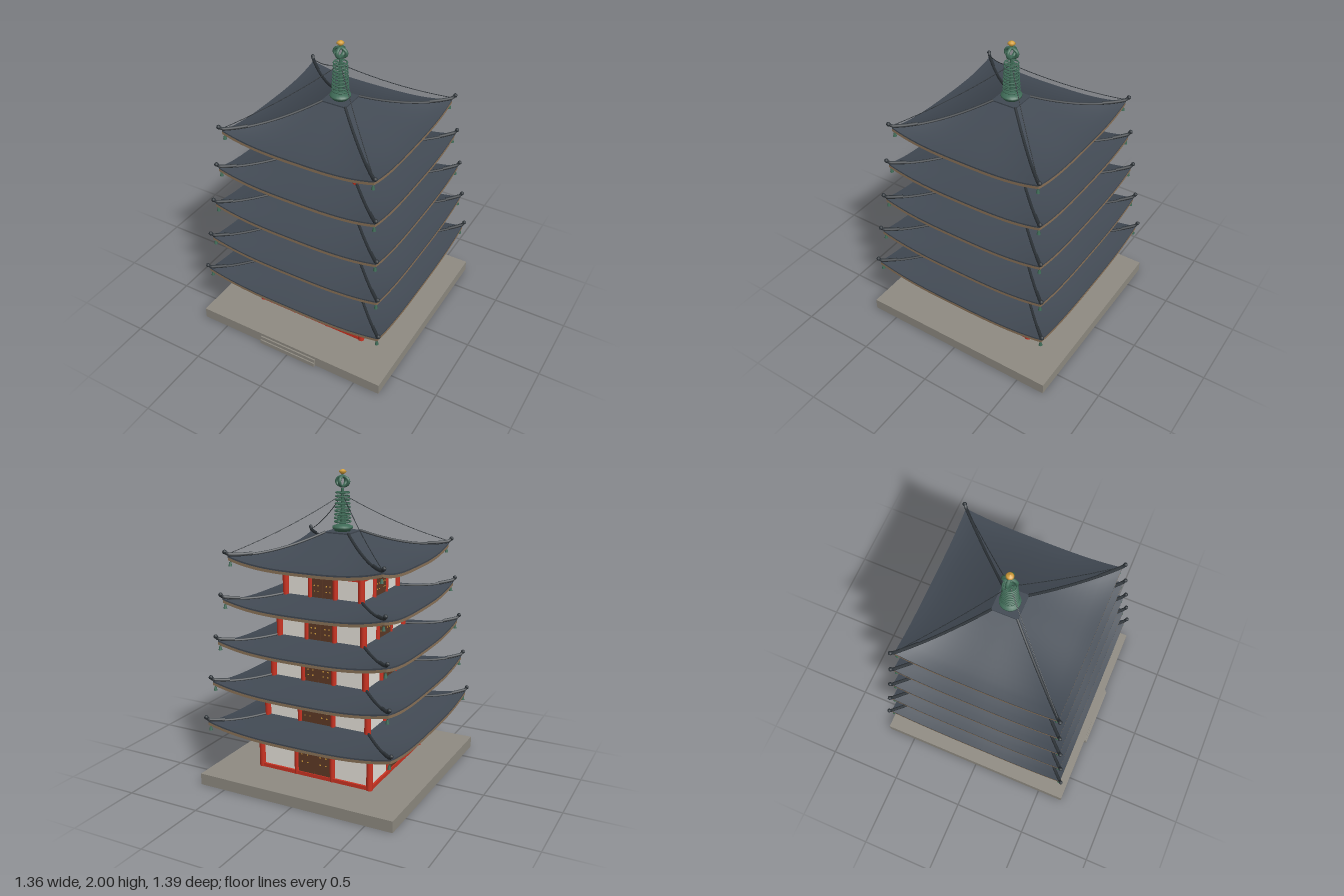
import * as THREE from 'three';

const mat = (name, color) => {
  const m = new THREE.MeshStandardMaterial({ color });
  m.name = name;
  return m;
};

export function createModel() {
  const stone = mat('stone', 0x8f8b82), plaster = mat('plaster', 0xe6e2da);
  const red = mat('vermilion', 0xcc3322), slate = mat('roofSlate', 0x414953);
  const dark = mat('ridgeDark', 0x2e3439), door = mat('doorWood', 0x5e3a26);
  const soffit = mat('soffitWood', 0x4d3b2e), trim = mat('eaveTrim', 0x8a7258);
  const green = mat('bronzeGreen', 0x3f6b57), gold = mat('gold', 0xd6a03c);

  const model = new THREE.Group();
  model.name = 'pagoda';
  model.position.z = -0.0105;

  const add = (parent, name, geo, material, x = 0, y = 0, z = 0) => {
    const m = new THREE.Mesh(geo, material);
    m.name = name;
    m.position.set(x, y, z);
    parent.add(m);
    return m;
  };
  const box = (w, h, d) => new THREE.BoxGeometry(w, h, d);
  const cyl = (a, b, h, n = 12) => new THREE.CylinderGeometry(a, b, h, n);

  // Grid surface of f(a, b), a and b in 0..1, facing da x db
  const surface = (f, na, nb) => {
    const pos = [], idx = [];
    for (let i = 0; i <= na; i++) for (let j = 0; j <= nb; j++) pos.push(...f(i / na, j / nb));
    for (let i = 0; i < na; i++) for (let j = 0; j < nb; j++) {
      const p = i * (nb + 1) + j, q = p + nb + 1;
      idx.push(p, q, q + 1, p, q + 1, p + 1);
    }
    const g = new THREE.BufferGeometry();
    g.setAttribute('position', new THREE.Float32BufferAttribute(pos, 3));
    g.setIndex(idx);
    g.computeVertexNormals();
    return g;
  };

  // Repeat a builder on the four sides
  const fourSides = (parent, name, build) => {
    for (let k = 0; k < 4; k++) {
      const g = new THREE.Group();
      g.name = name;
      g.rotation.y = k * Math.PI / 2;
      build(g);
      parent.add(g);
    }
  };

  // Stone platform and front steps
  add(model, 'platform', box(1.36, 0.075, 1.37), stone, 0, 0.0375, 0);
  add(model, 'lowerStep', box(0.42, 0.03, 0.04), stone, 0, 0.015, 0.6825);
  add(model, 'upperStep', box(0.42, 0.025, 0.03), stone, 0, 0.0425, 0.6795);

  const buildStorey = (half, y0, y1) => {
    const storey = new THREE.Group();
    storey.name = 'storey';
    model.add(storey);
    const h = y1 - y0, mid = (y0 + y1) / 2, inner = half * 0.33;
    const ground = y0 < 0.1, doorLow = y0 + (ground ? 0.025 : 0), doorHigh = y1 - 0.05;
    add(storey, 'walls', box(half * 2, h + 0.02, half * 2), plaster, 0, mid + 0.01, 0);
    fourSides(storey, 'storeySide', (g) => {
      add(g, 'cornerColumn', cyl(0.021, 0.021, h), red, half, mid, half);
      for (const s of [-1, 1]) add(g, 'innerColumn', cyl(0.017, 0.017, h), red, s * inner, mid, half);
      add(g, 'wallPlate', box(half * 2, 0.018, 0.03), red, 0, y1 - 0.009, half);
      add(g, 'upperBeam', box(half * 2, 0.02, 0.028), red, 0, y1 - 0.045, half);
      if (ground) add(g, 'sillBeam', box(half * 2, 0.025, 0.028), red, 0, y0 + 0.0125, half);
      // Double door with studs
      const dh = doorHigh - doorLow, dw = inner - 0.014;
      for (const s of [-1, 1]) {
        add(g, 'doorLeaf', box(dw - 0.002, dh, 0.008), door, s * dw / 2, doorLow + dh / 2, half + 0.004);
        for (const u of [0.4, 0.75]) for (const v of [0.35, 0.6])
          add(g, 'doorStud', box(0.007, 0.007, 0.005), gold, s * dw * u, doorLow + dh * v, half + 0.009);
      }
      // Bracket ends under the eave
      for (let i = 0; i < 8; i++)
        add(g, 'bracket', box(0.03, 0.026, 0.07), red, (i / 3.5 - 1) * (half + 0.03), y1 + 0.009, half + 0.03);
    });
  };

  const buildRoof = (inner, outer, wall, yE, rise, power) => {
    const roof = new THREE.Group();
    roof.name = 'roof';
    model.add(roof);
    const lift = (u, t) => 0.052 * Math.pow(Math.abs(u), 3) * t * t;
    const top = (u, t) => {
      const r = inner + (outer - inner) * t;
      return [u * r, yE + rise * Math.pow(Math.max(0, 1 - t), power) + lift(u, t), r];
    };
    const under = (u, t) => {
      const r = wall + (outer - wall) * t;
      return [u * r, yE - 0.028 + 0.012 * (1 - t) + lift(u, t), r];
    };
    const edge = (lo, hi) => (a, b) => {
      const u = a * 2 - 1;
      return [u * outer, yE + lo + (hi - lo) * b + lift(u, 1), outer];
    };
    // Hip ridge, with a thicker raised end
    const hip = (t0, t1, dy) => new THREE.CatmullRomCurve3(Array.from({ length: 9 }, (_, i) => {
      const [x, y, z] = top(1, t0 + (t1 - t0) * i / 8);
      return new THREE.Vector3(x, y + dy + (t1 > 1 && i === 8 ? 0.012 : 0), z);
    }));
    fourSides(roof, 'roofSide', (g) => {
      add(g, 'tiles', surface((t, a) => top(a * 2 - 1, t), 10, 24), slate);
      add(g, 'soffit', surface((a, t) => under(a * 2 - 1, t), 24, 6), soffit);
      add(g, 'tileEdge', surface(edge(-0.01, 0), 24, 1), slate);
      add(g, 'eaveTrim', surface(edge(-0.028, -0.01), 24, 1), trim);
      add(g, 'hipRidge', new THREE.TubeGeometry(hip(0, 1, 0.004), 16, 0.009, 6), dark);
      add(g, 'ridgeEnd', new THREE.TubeGeometry(hip(0.75, 1.03, 0.01), 12, 0.011, 6), dark);
      const tip = top(1, 1.03);
      add(g, 'ridgeFinial', new THREE.SphereGeometry(0.014, 8, 6), dark, tip[0], tip[1] + 0.022, tip[2]);
      // Wind bell
      const c = outer - 0.01, yb = yE + 0.02;
      add(g, 'bellCord', cyl(0.002, 0.002, 0.02, 5), dark, c, yb, c);
      add(g, 'windBell', cyl(0.006, 0.012, 0.026, 8), green, c, yb - 0.02, c);
    });
  };

  // Five tiers
  const halfAt = (i) => 0.39 - 0.0315 * i;
  const baseAt = (i) => (i ? 0.432 + 0.264 * (i - 1) : 0.075);
  for (let i = 0; i < 5; i++) {
    const yE = 0.382 + 0.2655 * i, last = i === 4;
    buildStorey(halfAt(i), baseAt(i), yE - 0.028);
    buildRoof(last ? 0.08 : halfAt(i + 1) - 0.02, 0.637 - 0.029 * i, halfAt(i) - 0.01, yE,
      last ? 0.163 : 0.062, last ? 1.5 : 1.35);
  }

  // Spire
  const spire = new THREE.Group();
  spire.name = 'spire';
  model.add(spire);
  add(spire, 'roofCap', box(0.17, 0.02, 0.17), slate, 0, 1.603, 0);
  const bowl = [[0, 1.61], [0.05, 1.61], [0.052, 1.622], [0.066, 1.63], [0.066, 1.642], [0.045, 1.652], [0.02, 1.66], [0, 1.66]];
  add(spire, 'spireBase', new THREE.LatheGeometry(bowl.map((p) => new THREE.Vector2(...p)), 20), green);
  add(spire, 'pole', cyl(0.009, 0.013, 0.24), green, 0, 1.76, 0);
  for (let i = 0; i < 9; i++) {
    const r = 0.052 - 0.0012 * i, y = 1.672 + 0.0228 * i;
    add(spire, 'spireRing', new THREE.TorusGeometry(r, 0.0045, 6, 24), green, 0, y, 0).rotation.x = Math.PI / 2;
    for (const a of [0, Math.PI / 2])
      add(spire, 'ringSpoke', box(r * 2, 0.004, 0.006), green, 0, y, 0).rotation.y = a;
  }
  for (const a of [0, Math.PI / 2]) {
    const ring = add(spire, 'flameRing', new THREE.TorusGeometry(0.042, 0.011, 8, 24), green, 0, 1.923, 0);
    ring.rotation.y = a;
    ring.scale.y = 0.75;
  }
  add(spire, 'jewelStem', cyl(0.006, 0.008, 0.03, 8), green, 0, 1.966, 0);
  const jewel = [[0, 1.968], [0.012, 1.97], [0.025, 1.983], [0.018, 1.992], [0, 2]];
  add(spire, 'jewel', new THREE.LatheGeometry(jewel.map((p) => new THREE.Vector2(...p)), 14), gold);

  // Stay chains to the top roof corners
  fourSides(spire, 'stay', (g) => {
    const path = new THREE.QuadraticBezierCurve3(new THREE.Vector3(0.008, 1.838, 0.008),
      new THREE.Vector3(0.25, 1.635, 0.25), new THREE.Vector3(0.522, 1.507, 0.522));
    add(g, 'stayChain', new THREE.TubeGeometry(path, 20, 0.0025, 5), dark);
  });
  return model;
}
